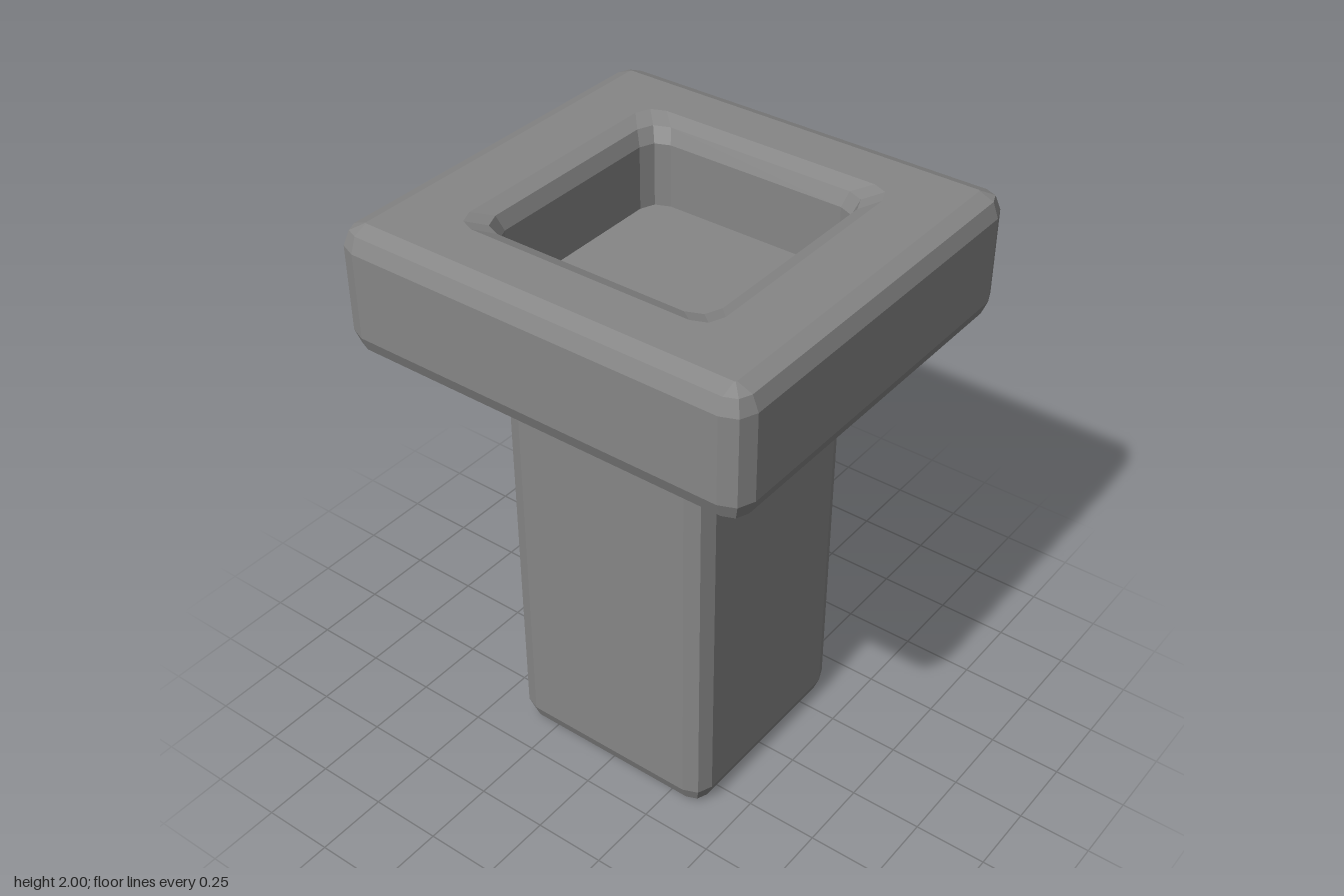
import * as THREE from 'three';

// One rounded-rectangle ring: half sizes hx, hz, corner radius r, two facets per corner
function ring(hx, hz, r, y) {
  const points = [];
  const signs = [[1, 1], [-1, 1], [-1, -1], [1, -1]];
  signs.forEach(([sx, sz], corner) => {
    for (let k = 0; k <= 2; k++) {
      const a = (corner + k / 2) * Math.PI / 2;
      points.push([sx * (hx - r) + r * Math.cos(a), y, sz * (hz - r) + r * Math.sin(a)]);
    }
  });
  return points;
}

// Joins consecutive rings with quads; optionally closes the first or last ring with a flat face
function loft(name, rings, { closeStart = false, closeEnd = false } = {}) {
  const positions = [];
  const n = rings[0].length;
  const tri = (a, b, c) => positions.push(...a, ...b, ...c);
  for (let i = 0; i < rings.length - 1; i++) {
    for (let j = 0; j < n; j++) {
      const k = (j + 1) % n;
      const [a, b, c, d] = [rings[i][j], rings[i + 1][j], rings[i + 1][k], rings[i][k]];
      tri(a, b, c);
      tri(a, c, d);
    }
  }
  const first = rings[0], last = rings[rings.length - 1];
  for (let j = 0; j < n; j++) {
    const k = (j + 1) % n;
    if (closeStart) tri([0, first[0][1], 0], first[j], first[k]);
    if (closeEnd) tri([0, last[0][1], 0], last[k], last[j]);
  }
  const geometry = new THREE.BufferGeometry();
  geometry.setAttribute('position', new THREE.Float32BufferAttribute(positions, 3));
  geometry.computeVertexNormals();
  const mesh = new THREE.Mesh(geometry, new THREE.MeshStandardMaterial({ color: 0x868686, flatShading: true }));
  mesh.name = name;
  return mesh;
}

export function createModel() {
  const group = new THREE.Group();
  group.name = 'squarePost';

  const square = (h, r, y) => ring(h, h, r, y);
  const capRing = (inset, y) => ring(0.728 - inset, 0.688 - inset, 0.075 - inset, y);
  const underside = square(0.46, 0.07, 1.57);
  const rim = square(0.46, 0.07, 2);

  // Post with bevelled foot, flaring into the head
  group.add(loft('post', [
    square(0.32, 0.005, 0),
    square(0.37, 0.05, 0.02),
    square(0.39, 0.07, 0.07),
    square(0.39, 0.07, 1.5),
    square(0.41, 0.075, 1.55),
    underside,
  ], { closeStart: true }));

  // Wide head with bevelled edges
  group.add(loft('head', [
    underside,
    capRing(0.07, 1.57),
    capRing(0.02, 1.59),
    capRing(0, 1.64),
    capRing(0, 1.93),
    capRing(0.02, 1.98),
    capRing(0.07, 2),
    rim,
  ]));

  // Square recess in the top with a softened rim and flat floor
  group.add(loft('recess', [
    rim,
    square(0.41, 0.075, 1.98),
    square(0.39, 0.07, 1.93),
    square(0.39, 0.07, 1.71),
  ], { closeEnd: true }));

  return group;
}
